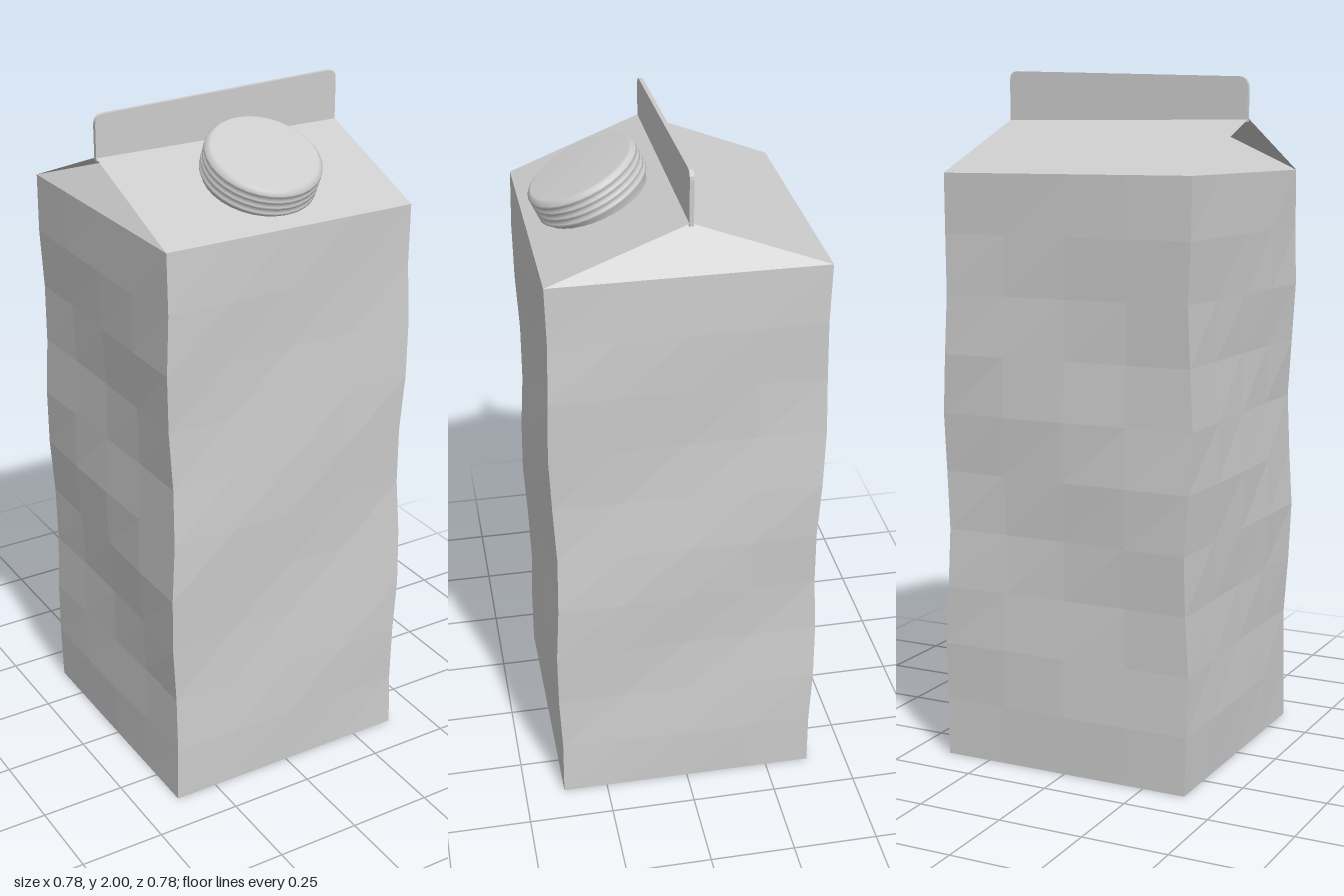
import * as THREE from 'three';

const HALF = 0.382;   // half width of the carton
const EAVE = 1.71;    // top of the walls
const RIDGE = 1.86;   // top of the gable
const SHIFT = -0.009; // slight sideways lean at the top

// Mesh from a list of triangles, each given by three corners
function triangleMesh(name, triangles, material) {
  const geometry = new THREE.BufferGeometry();
  geometry.setAttribute('position', new THREE.Float32BufferAttribute(triangles.flat(2), 3));
  geometry.computeVertexNormals();
  const mesh = new THREE.Mesh(geometry, material);
  mesh.name = name;
  return mesh;
}

// Tall box with soft diagonal dents that fade out at the top and bottom
function createWalls(material) {
  const box = new THREE.BoxGeometry(HALF * 2, EAVE, HALF * 2, 4, 10, 4);
  box.translate(0, EAVE / 2, 0);
  const p = box.attributes.position;
  for (let i = 0; i < p.count; i++) {
    const x = p.getX(i), y = p.getY(i), z = p.getZ(i);
    const fade = Math.sqrt(Math.max(0, Math.sin(Math.PI * y / EAVE)));
    const dentX = 0.009 * fade * Math.sin(8.5 * y + 4 * z + 1);
    const dentZ = 0.008 * fade * Math.sin(8 * y - 5 * x);
    const lean = 0.004 + (SHIFT - 0.004) * y / EAVE;
    p.setXYZ(i, x + dentX * x / HALF + lean, y, z + dentZ * z / HALF);
  }
  const geometry = box.toNonIndexed();
  geometry.computeVertexNormals();
  const mesh = new THREE.Mesh(geometry, material);
  mesh.name = 'walls';
  return mesh;
}

// Two sloping panels with a gusset folded inward at each end
function createRoof(material) {
  const roof = new THREE.Group();
  roof.name = 'roof';
  const corner = (sx, sz) => [SHIFT + sx * HALF, EAVE, sz * HALF];
  const ridge = (sx) => [SHIFT + sx * HALF, RIDGE, 0];
  for (const sz of [1, -1]) {
    const a = corner(-sz, sz), b = corner(sz, sz), c = ridge(sz), d = ridge(-sz);
    roof.add(triangleMesh(sz > 0 ? 'frontRoofPanel' : 'backRoofPanel', [[a, b, c], [a, c, d]], material));
  }
  for (const sx of [1, -1]) {
    const fold = [SHIFT + sx * 0.25, RIDGE - 0.015, 0];
    const f = corner(sx, 1), b = corner(sx, -1), r = ridge(sx);
    roof.add(triangleMesh(sx > 0 ? 'leftGusset' : 'rightGusset',
      [[f, b, fold], [f, fold, r], [b, r, fold]], material));
  }
  return roof;
}

// Thin sealed strip along the ridge, a little taller at one end
function createFin(material) {
  const l = -0.391, r = 0.372, c = 0.025;
  const s = new THREE.Shape();
  s.moveTo(l, RIDGE - 0.01);
  s.lineTo(r, RIDGE - 0.01);
  s.lineTo(r, 2 - c);
  s.quadraticCurveTo(r, 2, r - c, 2);
  s.lineTo(l + c, 1.976);
  s.quadraticCurveTo(l, 1.973, l, 1.973 - c);
  s.closePath();
  const geometry = new THREE.ExtrudeGeometry(s, { depth: 0.012, bevelEnabled: false, curveSegments: 4 });
  geometry.translate(0, 0, -0.008);
  const fin = new THREE.Mesh(geometry, material);
  fin.name = 'ridgeFin';
  return fin;
}

// Screw cap with ringed sides
function createCap(material) {
  const profile = [new THREE.Vector2(0.15, -0.02)];
  const rings = 4;
  for (let i = 0; i < rings; i++) {
    const y = 0.002 + i * 0.02;
    profile.push(new THREE.Vector2(0.155, y), new THREE.Vector2(0.163, y + 0.007), new THREE.Vector2(0.162, y + 0.014));
  }
  profile.push(new THREE.Vector2(0.154, 0.084), new THREE.Vector2(0.147, 0.088), new THREE.Vector2(0, 0.09));
  const cap = new THREE.Mesh(new THREE.LatheGeometry(profile, 32), material);
  cap.name = 'screwCap';
  cap.position.set(-0.005, 1.795, 0.193);
  cap.rotation.x = 0.44;
  return cap;
}

export function createModel() {
  const cardboard = new THREE.MeshStandardMaterial({ color: 0xcccccc });
  cardboard.name = 'lightGrey';
  // Folded card is open, so it shows from both sides
  cardboard.side = THREE.DoubleSide;

  const carton = new THREE.Group();
  carton.name = 'carton';
  carton.add(createWalls(cardboard), createRoof(cardboard), createFin(cardboard), createCap(cardboard));
  return carton;
}
